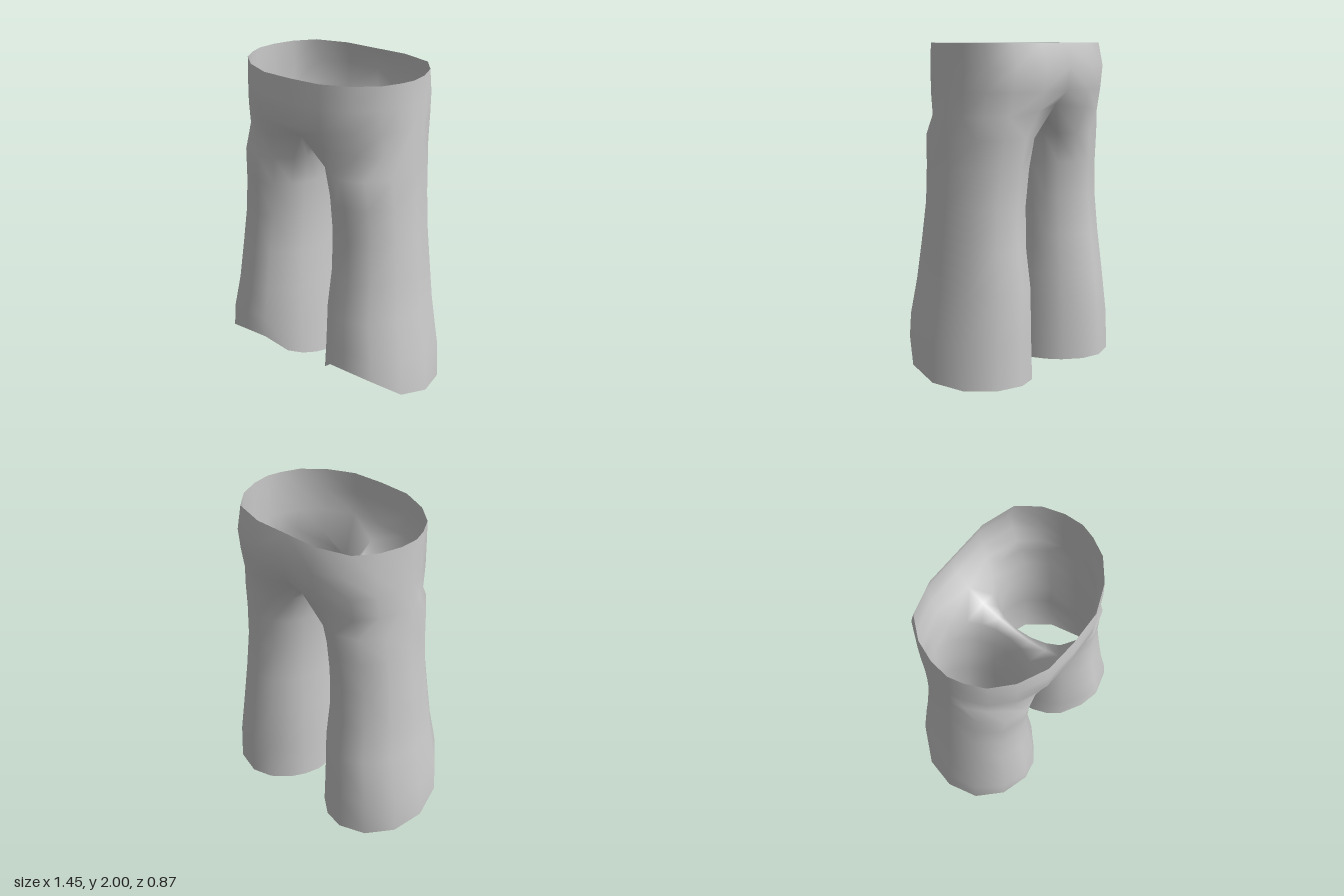
import * as THREE from 'three';
import { mergeVertices } from 'three/addons/utils/BufferGeometryUtils.js';

// Waist half-outline [x, z] from front centre, round the left hip, to back centre
const WAIST = [[0, .42], [.2, .41], [.37, .335], [.49, .23], [.545, .12], [.57, .03],
  [.56, -.09], [.515, -.22], [.42, -.34], [.22, -.4], [0, -.4]];
// Hip rows: y, width scale, front scale, back scale
const HIPS = [[2, 1, 1, .99], [1.86, 1, 1.02, 1.085], [1.72, 1.01, 1, 1.03]];
// Underside of the crotch [y, z], from back to front
const CROTCH = [[1.57, -.22], [1.53, -.1], [1.52, .02], [1.53, .13], [1.57, .24]];
// Leg rows: y, inner x, outer x, back z, front z
const LEGS = [[1.45, .037, .587, -.355, .367], [1.27, .068, .597, -.333, .348], [1.05, .084, .615, -.32, .34],
  [.8, .09, .64, -.335, .365], [.56, .074, .66, -.368, .405], [.25, .067, .712, -.385, .428], [0, .055, .725, -.39, .435]];
// Direction of each leg vertex, from front towards the outside
const ANGLES = [-45, -22, 0, 30, 60, 90, 120, 150, 180, 203, 225, 240, 255, 270, 285, 300];
const OUTER = WAIST.length;

// Hem height against z: raised over the front of the foot
const HEM = [[-.05, 0], [.13, .045], [.3, .095], [.39, .21], [.435, .245]];
function hemHeight(z) {
  if (z <= HEM[0][0]) return 0;
  for (let i = 1; i < HEM.length; i++) {
    const [z0, y0] = HEM[i - 1], [z1, y1] = HEM[i];
    if (z <= z1) return y0 + (y1 - y0) * (z - z0) / (z1 - z0);
  }
  return .245;
}

function hipRow([y, sx, front, back]) {
  return WAIST.map(([x, z]) => [x * sx, y, z * (z > 0 ? front : back)]);
}

// Row where the hips split into a leg: outer half plus the crotch curve
function crotchRow() {
  const row = hipRow([1.58, 1.02, .925, .95]);
  row[0] = [0, 1.64, .335];
  row[OUTER - 1] = [0, 1.64, -.325];
  row[1][1] = row[OUTER - 2][1] = 1.61;
  return row.concat(CROTCH.map(([y, z]) => [0, y, z]));
}

function legRow([y, x0, x1, z0, z1]) {
  const hemShare = Math.max(0, 1 - y / .5);
  return ANGLES.map((deg) => {
    const a = THREE.MathUtils.degToRad(deg);
    const x = (x0 + x1) / 2 + Math.sin(a) * (x1 - x0) / 2;
    const z = (z0 + z1) / 2 + Math.cos(a) * (z1 - z0) / 2;
    return [x, y + hemShare * hemHeight(z), z];
  });
}

function trouserGeometry() {
  const rows = [...HIPS.map(hipRow), crotchRow(), ...LEGS.map(legRow)];
  const positions = [], indices = [];
  for (const side of [1, -1]) {
    const starts = rows.map((row) => {
      const start = positions.length / 3;
      row.forEach(([x, y, z]) => positions.push(x * side, y, z));
      return start;
    });
    const tri = (a, b, c) => (side > 0 ? indices.push(a, b, c) : indices.push(a, c, b));
    for (let i = 0; i < rows.length - 1; i++) {
      // hips are open half-rows, legs are closed rings
      const closed = i >= HIPS.length, n = rows[i].length;
      const spans = closed ? n : OUTER - 1;
      for (let j = 0; j < spans; j++) {
        const k = (j + 1) % n;
        const a = starts[i] + j, b = starts[i + 1] + j;
        const c = starts[i + 1] + k, d = starts[i] + k;
        tri(a, b, d);
        tri(b, c, d);
      }
    }
  }
  const raw = new THREE.BufferGeometry();
  raw.setAttribute('position', new THREE.Float32BufferAttribute(positions, 3));
  raw.setIndex(indices);
  // weld the centre seam so shading runs smoothly across it
  const geometry = mergeVertices(raw, 1e-4);
  geometry.computeVertexNormals();
  return geometry;
}

export function createModel() {
  const group = new THREE.Group();
  group.name = 'trousers';
  const cloth = new THREE.MeshStandardMaterial({ color: 0xcccccc, side: THREE.DoubleSide });
  const shell = new THREE.Mesh(trouserGeometry(), cloth);
  shell.name = 'trouserCloth';
  group.add(shell);
  return group;
}
